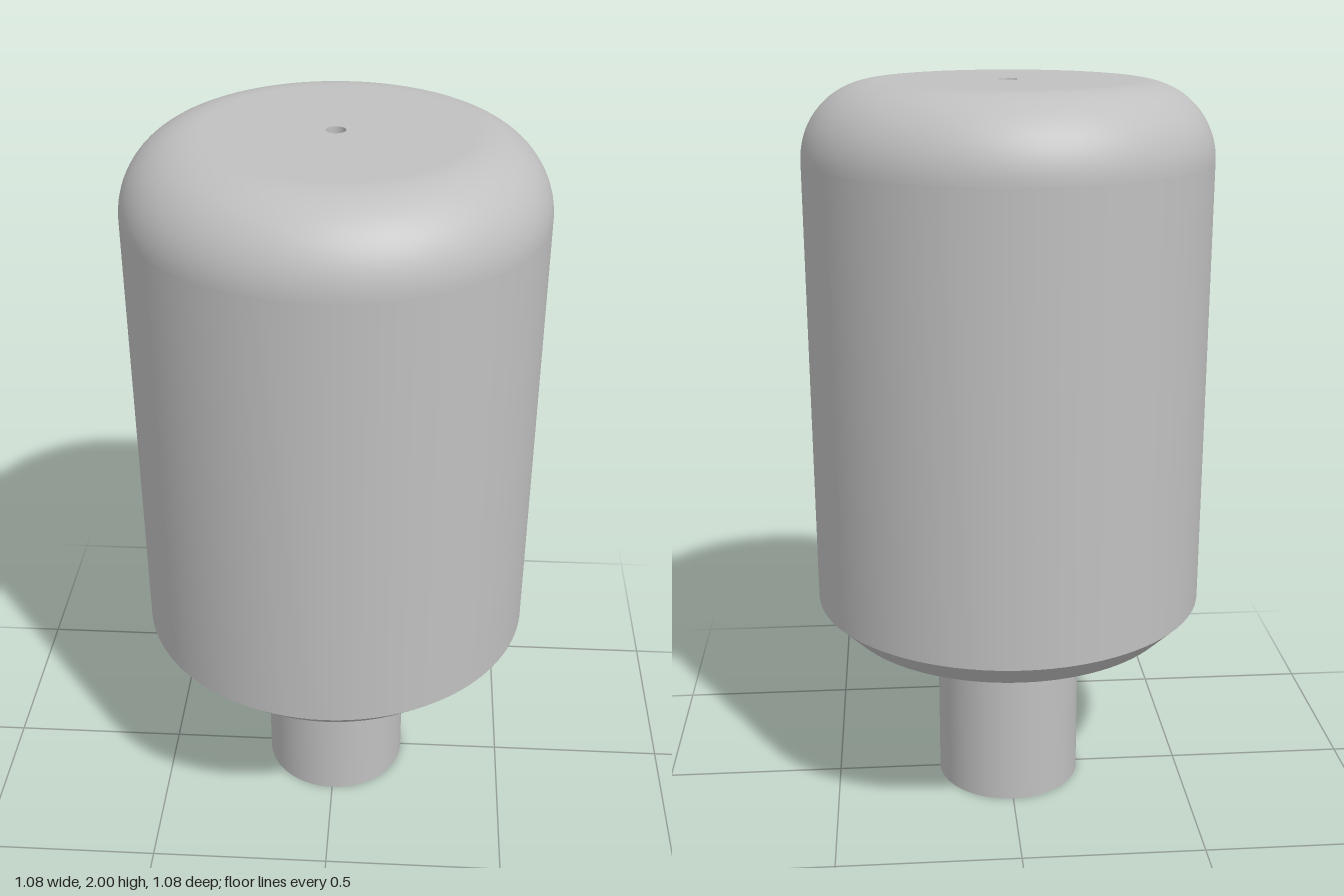
import * as THREE from 'three';

const BORE = 0.025, SHAFT = 0.203, BODY = 0.54, FILLET = 0.2, CHAMFER = 0.07;
const BODY_BOTTOM = 0.51, TOP = 2, SEGMENTS = 96;

export function createModel() {
  const model = new THREE.Group();
  const grey = new THREE.MeshStandardMaterial({ color: 0xc0c0c0 });
  grey.name = 'plain grey';

  // Each surface of revolution is its own lathe, so edges between them stay sharp
  const turn = (parent, name, points) => {
    const profile = points.map(([r, y]) => new THREE.Vector2(r, y));
    const mesh = new THREE.Mesh(new THREE.LatheGeometry(profile, SEGMENTS), grey);
    mesh.name = name;
    parent.add(mesh);
  };
  const part = (name) => {
    const group = new THREE.Group();
    group.name = name;
    model.add(group);
    return group;
  };

  // Narrow shaft
  const shaft = part('shaft');
  turn(shaft, 'shaftEnd', [[BORE, 0], [SHAFT, 0]]);
  turn(shaft, 'shaftWall', [[SHAFT, 0], [SHAFT, BODY_BOTTOM]]);

  // Wide body with a chamfered base and rounded shoulder
  const body = part('body');
  const wallBottom = BODY_BOTTOM + CHAMFER, wallTop = TOP - FILLET;
  turn(body, 'bodyUnderside', [[SHAFT, BODY_BOTTOM], [BODY - CHAMFER, BODY_BOTTOM]]);
  turn(body, 'bodyChamfer', [[BODY - CHAMFER, BODY_BOTTOM], [BODY, wallBottom]]);
  turn(body, 'bodyWall', [[BODY, wallBottom], [BODY, wallTop]]);
  const arc = [];
  for (let i = 0; i <= 24; i++) {
    const a = (i / 24) * Math.PI / 2;
    arc.push([BODY - FILLET + FILLET * Math.cos(a), wallTop + FILLET * Math.sin(a)]);
  }
  turn(body, 'bodyShoulder', arc);
  turn(body, 'bodyTop', [[BODY - FILLET, TOP], [BORE, TOP]]);

  // Small hole through the full length
  turn(model, 'bore', [[BORE, TOP], [BORE, 0]]);

  return model;
}
